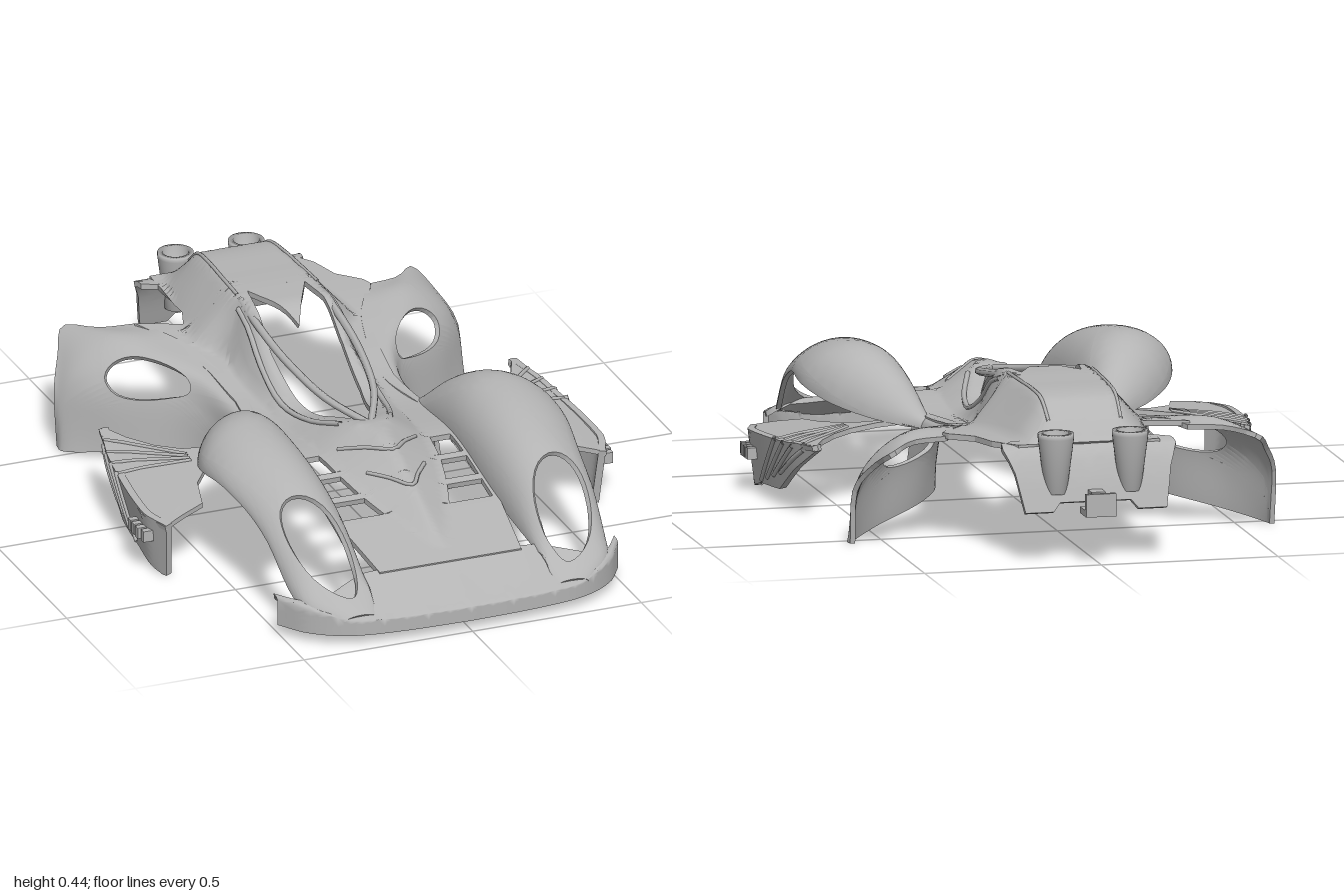
import * as THREE from 'three';

const shellMat = new THREE.MeshStandardMaterial({ color: 0xb4b4b4 });
shellMat.name = 'plain grey plastic';
shellMat.side = THREE.DoubleSide;

// Smooth lookup through a few [position, value] pairs in ascending order
function curve(pts) {
  const slope = (i) => {
    const a = pts[Math.max(i - 1, 0)], b = pts[Math.min(i + 1, pts.length - 1)];
    return (b[1] - a[1]) / (b[0] - a[0]);
  };
  return (p) => {
    if (p <= pts[0][0]) return pts[0][1];
    for (let i = 0; i < pts.length - 1; i++) {
      const [a, va] = pts[i], [b, vb] = pts[i + 1];
      if (p > b) continue;
      const h = b - a, t = (p - a) / h, s = 1 - t;
      return va * s * s * (1 + 2 * t) + vb * t * t * (3 - 2 * t) + h * t * s * (s * slope(i) - t * slope(i + 1));
    }
    return pts[pts.length - 1][1];
  };
}

// Flat outline with holes, finely split, bent by map(u, v) and thickened inwards
function panel(name, outline, holes, map, out, thick = 0.016, maxLen = 0.04) {
  const v2 = (l) => l.map(([a, b]) => new THREE.Vector2(a, b));
  const pts = [...outline, ...holes.flat()];
  let tris = THREE.ShapeUtils.triangulateShape(v2(outline), holes.map(v2));
  for (let pass = 0; pass < 7; pass++) {
    const mids = new Map(), next = [];
    const mid = (a, b) => {
      const [p, q] = [pts[a], pts[b]];
      if (Math.hypot(p[0] - q[0], p[1] - q[1]) < maxLen) return -1;
      const key = Math.min(a, b) + '_' + Math.max(a, b);
      if (!mids.has(key)) mids.set(key, pts.push([(p[0] + q[0]) / 2, (p[1] + q[1]) / 2]) - 1);
      return mids.get(key);
    };
    for (const [a, b, c] of tris) {
      const m = [mid(a, b), mid(b, c), mid(c, a)];
      if (m.every((i) => i >= 0)) {
        next.push([a, m[0], m[2]], [m[0], b, m[1]], [m[2], m[1], c], m);
        continue;
      }
      const poly = [a, m[0], b, m[1], c, m[2]].filter((i) => i >= 0);
      const k = Math.max(0, poly.findIndex((i) => m.includes(i))), n = poly.length;
      for (let i = 1; i < n - 1; i++) next.push([poly[k], poly[(k + i) % n], poly[(k + i + 1) % n]]);
    }
    tris = next;
  }
  const sheet = new THREE.BufferGeometry();
  sheet.setAttribute('position', new THREE.Float32BufferAttribute(pts.flatMap(([u, v]) => map(u, v)), 3));
  sheet.setIndex(tris.flat());
  sheet.computeVertexNormals();
  const P = sheet.attributes.position, N = sheet.attributes.normal;
  let facing = 0;
  for (let i = 0; i < N.count; i++) facing += N.getX(i) * out[0] + N.getY(i) * out[1] + N.getZ(i) * out[2];
  const sign = facing < 0 ? -1 : 1;
  if (sign < 0) tris = tris.map(([a, b, c]) => [a, c, b]);
  const pos = [], index = [], n = P.count;
  for (const t of [0, thick]) for (let i = 0; i < n; i++) {
    pos.push(P.getX(i) - N.getX(i) * sign * t, P.getY(i) - N.getY(i) * sign * t, P.getZ(i) - N.getZ(i) * sign * t);
  }
  const edges = new Set(tris.flatMap(([a, b, c]) => [a + '_' + b, b + '_' + c, c + '_' + a]));
  for (const [a, b, c] of tris) index.push(a, b, c, a + n, c + n, b + n);
  // rim walls along every free edge
  for (const e of edges) {
    const [a, b] = e.split('_').map(Number);
    if (edges.has(b + '_' + a)) continue;
    const k = pos.length / 3;
    for (const i of [a, b, a + n, b + n]) pos.push(pos[3 * i], pos[3 * i + 1], pos[3 * i + 2]);
    index.push(k, k + 2, k + 1, k + 1, k + 2, k + 3);
  }
  const geo = new THREE.BufferGeometry();
  geo.setAttribute('position', new THREE.Float32BufferAttribute(pos, 3));
  geo.setIndex(index);
  geo.computeVertexNormals();
  return named(name, geo);
}
function named(name, geo) {
  const m = new THREE.Mesh(geo, shellMat);
  m.name = name;
  return m;
}
// Ellipse whose u centre leans with v
const ellipse = (cu, cv, ru, rv, lean = 0, n = 32) => Array.from({ length: n }, (_, i) => {
  const a = (i / n) * Math.PI * 2, dv = rv * Math.sin(a);
  return [cu + ru * Math.cos(a) + lean * dv, cv + dv];
});
const tube = (name, pts, r) => named(name,
  new THREE.TubeGeometry(new THREE.CatmullRomCurve3(pts.map((p) => new THREE.Vector3(...p))), 16, r, 6));
const mirrorX = (l) => l.map(([x, z]) => [-x, z]);
const lerp = THREE.MathUtils.lerp;
const steps = [0, 0.2, 0.4, 0.6, 0.8, 1];

// Centre body: deck height plus the raised nose, sill and roof
const deckY = curve([[-0.86, 0.32], [-0.55, 0.31], [-0.3, 0.275], [-0.15, 0.25], [0, 0.24], [0.3, 0.255], [0.6, 0.2], [0.84, 0.148]]);
const rise = curve([[-0.86, 0], [-0.81, 0.055], [-0.74, 0.107], [-0.55, 0.127], [-0.4, 0.145], [-0.31, 0.148], [-0.2, 0.085], [0, 0.025], [0.15, 0.045], [0.28, 0.07], [0.5, 0.06], [0.78, 0]]);
const foot = curve([[-0.86, 0.17], [-0.5, 0.235], [-0.44, 0.235], [-0.36, 0.185], [0, 0.17], [0.28, 0.15], [0.45, 0.125], [0.6, 0.08], [0.78, 0.02]]);
const flat = curve([[-0.86, 0.1], [-0.4, 0.12], [0, 0.125], [0.2, 0.07], [0.35, 0.015], [0.8, 0.004]]);
const bodyY = (x, z) => {
  const t = (foot(z) - Math.abs(x)) / (foot(z) - flat(z));
  return deckY(z) + rise(z) * THREE.MathUtils.clamp(t, 0, 1);
};

// Front fender lines
const crown = curve([[-0.02, 0.225], [0, 0.24], [0.1, 0.335], [0.2, 0.388], [0.3, 0.4], [0.5, 0.37], [0.68, 0.31], [0.78, 0.245], [0.84, 0.187], [0.91, 0.125], [0.96, 0.088]]);
const arch = curve([[0, 0.21], [0.2, 0.26], [0.32, 0.285], [0.46, 0.29], [0.68, 0.225], [0.83, 0.115], [0.96, 0.075]]);
const fenderOut = curve([[-0.02, 0.26], [0.03, 0.34], [0.1, 0.42], [0.2, 0.49], [0.33, 0.525], [0.6, 0.49], [0.83, 0.465], [0.9, 0.44], [0.96, 0.36]]);
const fenderIn = curve([[-0.02, 0.235], [0.2, 0.235], [0.6, 0.235], [0.96, 0.265]]);

// Rear fender ribs, each from the deck edge down to the lower lip
const ribs = [
  [[0.24, 0.24, 0.06], [0.265, 0.225, 0.06], [0.28, 0.15, 0.06], [0.29, 0.075, 0.06]],
  [[0.2, 0.25, -0.15], [0.255, 0.235, -0.15], [0.27, 0.16, -0.15], [0.275, 0.075, -0.16]],
  [[0.22, 0.275, -0.3], [0.29, 0.265, -0.3], [0.325, 0.2, -0.3], [0.355, 0.06, -0.3]],
  [[0.26, 0.3, -0.45], [0.39, 0.29, -0.44], [0.475, 0.21, -0.43], [0.515, 0.025, -0.43]],
  [[0.3, 0.31, -0.53], [0.45, 0.305, -0.55], [0.56, 0.21, -0.54], [0.6, 0.005, -0.52]],
  [[0.34, 0.305, -0.615], [0.44, 0.302, -0.635], [0.52, 0.287, -0.712], [0.56, 0.24, -0.645], [0.598, 0.165, -0.58], [0.6, 0.005, -0.555]],
].map((r) => new THREE.CatmullRomCurve3(r.map((p) => new THREE.Vector3(...p))));
const rearPoint = (u, v) => new THREE.CatmullRomCurve3(ribs.map((r) => r.getPoint(v))).getPoint(u);

// Side pod lines
const podX = curve([[-0.2, 0.61], [-0.05, 0.652], [0.27, 0.685], [0.37, 0.655]]);
const podY = (x, z) => 0.2 + 0.1 * (0.6 - x) * (x < 0.6 ? 1 : 2) - 0.07 * z;
const podSkin = (z, y) => podX(z) - (0.19 - y) * 0.12;
const bumperZ = curve([[0, 0.995], [0.2, 0.987], [0.35, 0.962], [0.45, 0.9], [0.505, 0.82]]);

export function createModel() {
  const car = new THREE.Group();
  car.name = 'carBodyShell';

  // centre shell with cockpit opening and hood vents; the right rear edge has a notch
  const front = [[0.21, 0.84], [0.24, 0.6], [0.25, 0.27], [0.25, 0], [0.235, -0.15], [0.25, -0.3], [0.28, -0.45]];
  const leftTail = [[0.35, -0.6], [0.34, -0.63], [0.28, -0.69], [0.255, -0.78], [0.2, -0.86]];
  const rightTail = [[0.35, -0.6], [0.345, -0.54], [0.33, -0.525], [0.235, -0.525], [0.21, -0.6], [0.2, -0.78], [0.2, -0.86]];
  const half = [[0.035, 0.18], [0.07, 0.09], [0.095, -0.05], [0.105, -0.2], [0.1, -0.33], [0.085, -0.43]];
  const cockpit = [[0, 0.24], ...half, [0, -0.26], ...mirrorX(half).reverse()];
  const vents = [];
  for (const [a, b] of [[0.285, 0.38], [0.405, 0.49], [0.515, 0.595]]) {
    const vent = [[0.225, a], [0.225, b], [foot(b) + 0.015, b], [foot(a) + 0.015, a]];
    vents.push(vent, mirrorX(vent));
  }
  car.add(panel('centreBody', [...front, ...leftTail, ...mirrorX([...front, ...rightTail]).reverse()],
    [cockpit, ...vents], (x, z) => [x, bodyY(x, z), z], [0, 1, 0], 0.016, 0.026));

  // nose chevrons
  for (const [z, w] of [[0.42, 0.115], [0.56, 0.085]]) {
    const line = [-1, -0.5, 0, 0.5, 1].map((k) => {
      const zz = z - Math.abs(k) * 0.12;
      return [k * w, bodyY(k * w, zz), zz];
    });
    car.add(tube('noseChevron', line, 0.006));
  }

  // bumper: sloping top, then upright front lip
  const bumper = (x, t) => {
    const a = Math.abs(x), zf = bumperZ(a);
    const back = a < 0.26 ? 0.825 : Math.min(0.825 + (a - 0.26) * 0.5, zf - 0.03);
    const top = 0.15 - 0.035 * THREE.MathUtils.smoothstep(a, 0.2, 0.5);
    const lip = 0.078 + 0.035 * THREE.MathUtils.smoothstep(a, 0.3, 0.5);
    if (t < 0.16) return [x, lerp(top, lip, t / 0.16), lerp(back, zf - 0.01, t / 0.16)];
    return [x, lerp(lip, 0.032, (t - 0.16) / 0.06), zf];
  };
  car.add(panel('frontBumper', [[-0.505, 0], [-0.505, 0.22], [0.505, 0.22], [0.505, 0]], [], bumper, [0, 0.7, 0.7], 0.016, 0.028));

  for (const s of [1, -1]) {
    // front fender with large leaning lamp opening
    car.add(panel('frontFender', [[0, -0.02], [0.4, -0.02], [0.4, 0.96], [0, 0.96]], [ellipse(0.2, 0.777, 0.1, 0.137, -0.22)], (u, z) => {
      const t = (u / 0.4) * Math.PI, a = fenderIn(z), b = fenderOut(z);
      const base = lerp(Math.min(deckY(z), crown(z)) - 0.015, arch(z), u / 0.4);
      return [s * ((a + b) / 2 - Math.cos(t) * (b - a) / 2), base + (crown(z) - base) * Math.sin(t), z];
    }, [0, 1, 0], 0.014, 0.032));

    // rear fender curtain with lens opening
    car.add(panel('rearFender', [[0, 0], [1, 0], [1, 0.5], [0, 0.5]], [ellipse(0.535, 0.262, 0.142, 0.098)], (u, v) => {
      const p = rearPoint(u, v / 0.5);
      return [s * p.x, p.y, p.z];
    }, [s, 1, 0], 0.014, 0.048));

    // side pod: top wing and hanging side plate
    const wing = [[0.26, 0.03], [0.38, 0.04], [0.46, 0.01], [0.52, -0.045], [0.57, -0.12], [0.605, -0.2], [0.62, -0.2], [0.64, -0.1], [0.652, -0.05],
      [0.67, 0.1], [0.685, 0.27], [0.655, 0.37], [0.52, 0.31], [0.49, 0.2], [0.41, 0.1]];
    car.add(panel('sidePodWing', wing, [], (x, z) => [s * x, podY(x, z), z], [0, 1, 0], 0.014));
    const plate = [[0.37, 0.165], [0.345, 0.002], [0.33, 0.002], [0.2, 0.035], [0.05, 0.045], [-0.07, 0.12], [-0.2, 0.195], [-0.2, 0.212], [0, 0.19]];
    car.add(panel('sidePodPlate', plate, [], (z, y) => [s * podSkin(z, y), y, z], [s, 0, 0], 0.02));

    for (let i = 0; i < 4; i++) {
      // strakes fanning up the plate and back across the wing
      const z0 = 0.19 - i * 0.055, z1 = 0.04 - i * 0.06, y0 = 0.045 + i * 0.017, x1 = podX(z1);
      car.add(tube('podStrake', steps.map((t) => {
        const z = lerp(z0, z1, t), y = lerp(y0, 0.19, t);
        return [s * (podSkin(z, y) + 0.001), y, z];
      }), 0.007));
      car.add(tube('wingPleat', steps.map((t) => {
        const x = lerp(x1, 0.46, t), z = lerp(z1, 0.08 - i * 0.012, t);
        return [s * x, podY(x, z), z];
      }), 0.006));
      // little side vents
      const vent = named('sideVent', new THREE.BoxGeometry(0.03, 0.032, 0.02));
      vent.position.set(s * (podX(0.22 + i * 0.028) + 0.002), 0.115, 0.22 + i * 0.028);
      car.add(vent);
    }

    // canopy rail, sill lip and roof seam
    car.add(tube('canopyRail', [[0, 0.312, 0.26], [s * 0.07, 0.338, 0.11], [s * 0.108, 0.373, -0.09], [s * 0.118, 0.406, -0.28], [s * 0.115, 0.426, -0.4]], 0.011));
    car.add(tube('cockpitSill', [0.22, 0.1, -0.05, -0.2, -0.3, -0.38].map((z) => {
      const x = flat(z) + 0.012;
      return [s * x, bodyY(x, z) + 0.002, z];
    }), 0.008));
    car.add(tube('roofSeam', [-0.42, -0.55, -0.65, -0.74, -0.81].map((z) => [s * flat(z), bodyY(flat(z), z) - 0.001, z]), 0.005));

    // hollow tapered exhaust
    const pipe = named('exhaustPipe', new THREE.LatheGeometry(
      [[0.001, 0.19], [0.03, 0.19], [0.05, 0.345], [0.05, 0.358], [0.036, 0.358], [0.034, 0.3], [0.001, 0.3]].map((p) => new THREE.Vector2(...p)), 28));
    pipe.position.set(s * 0.105, 0, -0.905);
    car.add(pipe);
  }

  // tail plate bending down behind the roof
  const tail = [[-0.24, 0.02], [-0.245, 0.06], [-0.22, 0.12], [-0.2, 0.25], [-0.12, 0.25], [-0.1, 0.22], [0.1, 0.22], [0.12, 0.25], [0.2, 0.25], [0.22, 0.12], [0.245, 0.06], [0.24, 0.02], [0.2, 0], [-0.2, 0]];
  const tailY = curve([[0, 0.32], [0.06, 0.31], [0.12, 0.25], [0.25, 0.145]]);
  const tailZ = curve([[0, -0.8], [0.06, -0.865], [0.12, -0.905], [0.25, -0.945]]);
  car.add(panel('tailPlate', tail, [], (x, d) => [x, tailY(d), tailZ(d)], [0, 0.5, -1]));

  // rear hitch
  for (const [w, h, d, y, z] of [[0.085, 0.018, 0.07, 0.145, -0.965], [0.085, 0.06, 0.014, 0.17, -0.993], [0.04, 0.05, 0.05, 0.175, -0.945]]) {
    const box = named('rearHitch', new THREE.BoxGeometry(w, h, d));
    box.position.set(0, y, z);
    car.add(box);
  }
  return car;
}
